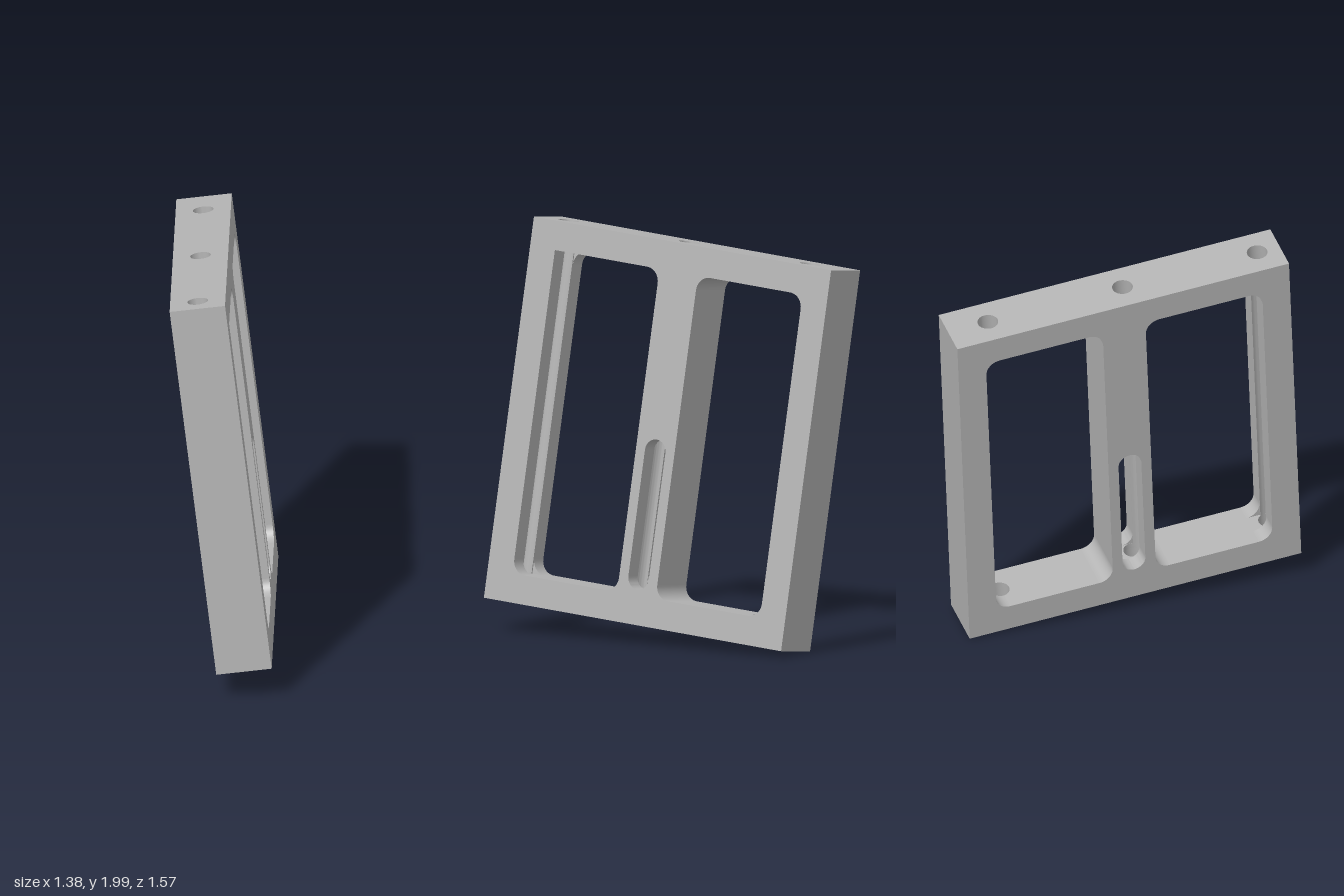
import * as THREE from 'three';
import { toCreasedNormals } from 'three/addons/utils/BufferGeometryUtils.js';

export function createModel() {
  const steel = new THREE.MeshStandardMaterial({ color: 0xb4b4b4 });
  steel.name = 'plain grey';

  // Half sizes of the plate, the window edges and the slot
  const W = 0.845, H = 0.925, D = 0.134;
  const winOut = 0.704, winIn = 0.109, winY = 0.785, fillet = 0.07;
  const slotR = 0.058, slotTop = -0.027, slotBottom = -0.755;
  const boreR = 0.05, bores = [-0.642, 0.044, 0.73];

  const frame = new THREE.Group();
  frame.name = 'frame';

  function add(name, geometry) {
    const mesh = new THREE.Mesh(toCreasedNormals(geometry, 0.5), steel);
    mesh.name = name;
    frame.add(mesh);
  }

  // Upright bar: plan outline raised from y0 to y1
  function raise(name, shape, y0, y1) {
    const g = new THREE.ExtrudeGeometry(shape, { depth: y1 - y0, bevelEnabled: false, curveSegments: 16 });
    add(name, g.rotateX(-Math.PI / 2).translate(0, y0, 0));
  }

  // Plan rectangle with round bores
  function plan(x0, x1, holes = []) {
    const s = new THREE.Shape([[x0, -D], [x1, -D], [x1, D], [x0, D]].map(p => new THREE.Vector2(...p)));
    for (const x of holes) s.holes.push(new THREE.Path().absarc(x, 0, boreR, 0, Math.PI * 2, true));
    return s;
  }

  // Plan rectangle whose inner (low x) side is cut open by a bore
  function notchedPlan(x0, x1, bore) {
    const a = Math.acos((x0 - bore) / boreR);
    const s = new THREE.Shape();
    s.moveTo(x0, -D);
    s.lineTo(x1, -D);
    s.lineTo(x1, D);
    s.lineTo(x0, D);
    s.absarc(bore, 0, boreR, a, -a, true);
    s.closePath();
    return s;
  }

  // Concave corner fillet, extruded through the thickness from z0 to z1
  function corner(name, x, y, sx, sy, r, z0, z1) {
    const pts = [new THREE.Vector2(x, y)];
    for (let i = 0; i <= 10; i++) {
      const t = (i / 10) * Math.PI / 2;
      pts.push(new THREE.Vector2(x + sx * r * (1 - Math.sin(t)), y + sy * r * (1 - Math.cos(t))));
    }
    const g = new THREE.ExtrudeGeometry(new THREE.Shape(pts), { depth: z1 - z0, bevelEnabled: false });
    add(name, g.translate(0, 0, z0));
  }

  // Top and bottom rails with three bores each
  raise('topRail', plan(-W, W, bores), winY, H);
  raise('bottomRail', plan(-W, W, bores), -H, -winY);

  // Side stiles; one is cut open along its length by the bore
  raise('plainStile', plan(-W, -winOut), -winY, winY);
  raise('groovedStile', notchedPlan(winOut, W, bores[2]), -winY, winY);

  // Centre bar, split around the long slot
  raise('centreBarUpper', plan(-winIn, winIn, [bores[1]]), slotTop, winY);
  raise('centreBarFoot', plan(-winIn, winIn, [bores[1]]), -winY, slotBottom);
  raise('slotSidePlain', plan(-winIn, -slotR), slotBottom, slotTop);
  raise('slotSideGrooved', notchedPlan(slotR, winIn, bores[1]), slotBottom, slotTop);

  // Window fillets, leaving the bores clear next to the stiles
  for (const sx of [-1, 1]) for (const sy of [-1, 1]) {
    corner('windowFillet', sx * winIn, sy * winY, sx, -sy, fillet, -D, D);
    corner('windowFillet', sx * winOut, sy * winY, -sx, -sy, fillet, boreR, D);
    const square = sx > 0 && sy > 0;
    if (!square) corner('windowFillet', sx * winOut, sy * winY, -sx, -sy, fillet, -D, -boreR);
  }

  // Rounded slot ends, clear of the centre bore
  for (const sx of [-1, 1]) for (const [y, sy] of [[slotTop, -1], [slotBottom, 1]]) {
    corner('slotEnd', sx * slotR, y, -sx, sy, slotR, boreR, D);
    corner('slotEnd', sx * slotR, y, -sx, sy, slotR, -D, -boreR);
  }

  // Turned about the upright, then leaned sideways
  frame.rotation.set(0, THREE.MathUtils.degToRad(-57.8), THREE.MathUtils.degToRad(8.3), 'ZYX');
  frame.position.y = 1;

  const model = new THREE.Group();
  model.name = 'windowedPlate';
  model.add(frame);
  return model;
}
